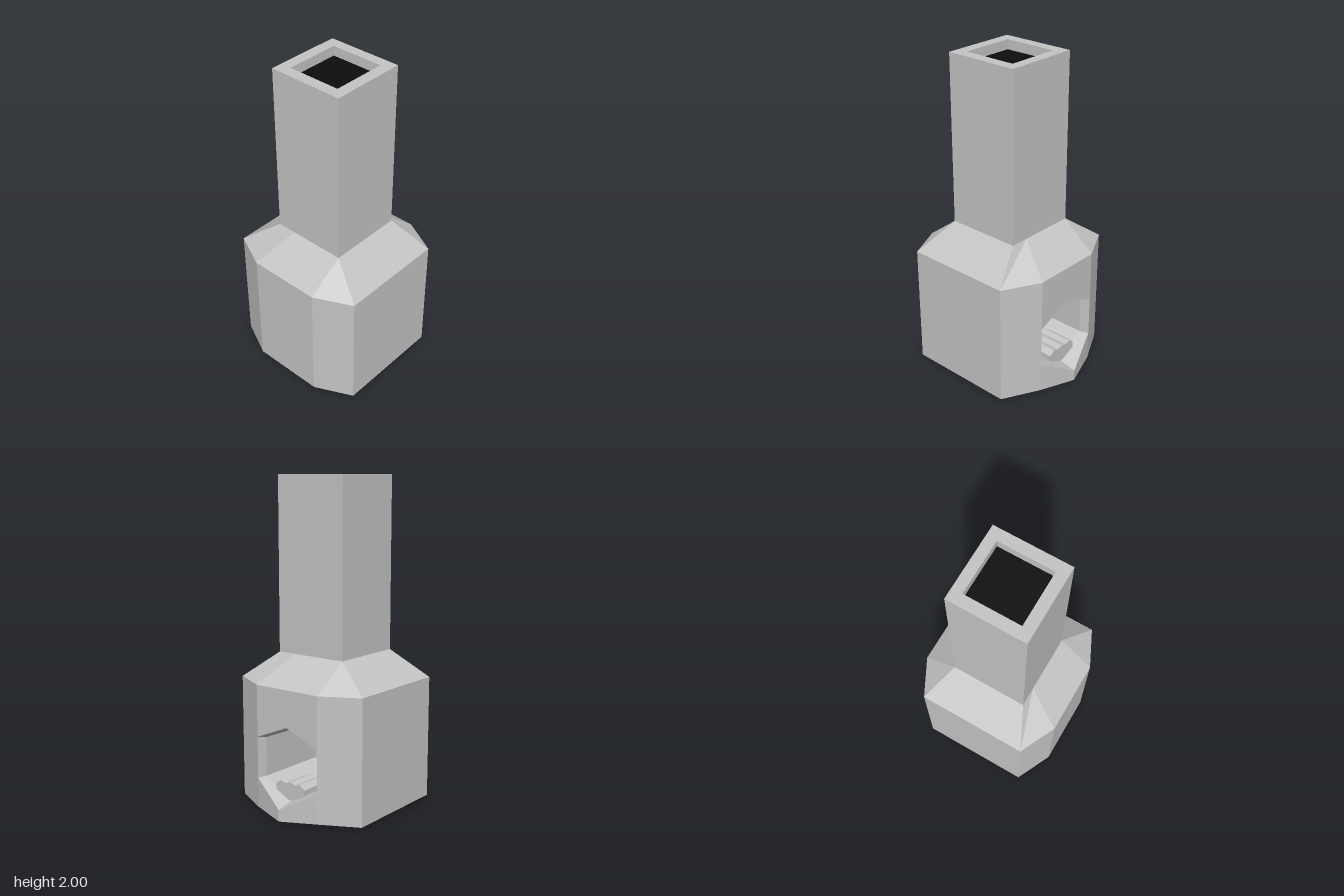
import * as THREE from 'three';

const stone = new THREE.MeshStandardMaterial({ color: 0xc4c4c4, flatShading: true, side: THREE.DoubleSide });
stone.name = 'grey stone';
const soot = new THREE.MeshStandardMaterial({ color: 0x0d0d0d, flatShading: true, side: THREE.DoubleSide });
soot.name = 'black soot';

// Mesh from flat polygons, each fanned from its first corner
function polyMesh(name, polygons, material) {
  const pos = [];
  for (const p of polygons)
    for (let i = 1; i < p.length - 1; i++) pos.push(...p[0], ...p[i], ...p[i + 1]);
  const geo = new THREE.BufferGeometry();
  geo.setAttribute('position', new THREE.Float32BufferAttribute(pos, 3));
  geo.computeVertexNormals();
  const mesh = new THREE.Mesh(geo, material);
  mesh.name = name;
  return mesh;
}

// Quads joining two loops with the same number of corners
const loft = (a, b) => a.map((p, i) => {
  const j = (i + 1) % a.length;
  return [p, a[j], b[j], b[i]];
});

const atHeight = (plan, y) => plan.map(([x, z]) => [x, y, z]);
const rect = (x0, x1, z) => [[x0, z], [x1, z], [x1, -z], [x0, -z]];

export function createModel() {
  const group = new THREE.Group();
  group.name = 'furnace';

  // Eight-sided furnace body; side 2 holds the mouth
  const plan = [[-0.39, 0.46], [0.3, 0.46], [0.42, 0.23], [0.42, -0.23],
    [0.3, -0.46], [-0.39, -0.46], [-0.5, -0.23], [-0.5, 0.23]];
  const base = atHeight(plan, 0.015), eaves = atHeight(plan, 0.775);
  const walls = loft(base, eaves).filter((_, i) => i !== 2);
  const lipFoot = [0.495, 0, 0];
  const underside = [lipFoot, ...base.slice(0, 3).reverse(), ...base.slice(3).reverse()];
  group.add(polyMesh('bodyWalls', walls, stone));
  group.add(polyMesh('underside', [underside], stone));

  // Hexagonal mouth with a pointed lip pushed forward at the bottom
  const mouth = [[0.495, 0.07, 0], [0.42, 0.2, -0.23], [0.42, 0.455, -0.23],
    [0.42, 0.55, 0], [0.42, 0.455, 0.23], [0.42, 0.2, 0.23]];
  group.add(polyMesh('mouthWall', [[mouth[3], mouth[2], eaves[3], eaves[2], mouth[4]]], stone));
  group.add(polyMesh('lip', [
    [mouth[5], base[2], lipFoot, mouth[0]],
    [mouth[0], lipFoot, base[3], mouth[1]],
  ], stone));

  // Firebox behind the mouth
  const hex = (x) => [[x, 0.1, 0], [x, 0.2, -0.212], [x, 0.443, -0.212],
    [x, 0.53, 0], [x, 0.443, 0.212], [x, 0.2, 0.212]];
  const back = hex(-0.1);
  group.add(polyMesh('mouthRim', loft(mouth, hex(0.36)), stone));
  group.add(polyMesh('firebox', [...loft(hex(0.36), back), back], stone));

  // Lumpy fuel pile on the firebox floor
  const pile = new THREE.Shape();
  pile.moveTo(-0.11, 0.1);
  pile.lineTo(0.11, 0.1);
  for (let i = 0; i <= 6; i++) pile.lineTo(0.11 - i * 0.22 / 6, i % 6 === 0 ? 0.185 : 0.2 + 0.01 * (i % 2));
  const fuelGeo = new THREE.ExtrudeGeometry(pile, { depth: 0.2, bevelEnabled: false });
  const fuel = new THREE.Mesh(fuelGeo.rotateY(Math.PI / 2).translate(0.19, 0, 0), stone);
  fuel.name = 'fuelPile';
  group.add(fuel);

  // Sloping shoulder from body to chimney
  const neck = [[-0.28, 0.24], [0.2, 0.24], [0.2, 0.12], [0.2, -0.12],
    [0.2, -0.24], [-0.28, -0.24], [-0.28, -0.12], [-0.28, 0.12]];
  group.add(polyMesh('shoulder', loft(eaves, atHeight(neck, 0.94)), stone));

  // Square chimney with a shallow flue
  const outer = rect(-0.28, 0.2, 0.24), inner = rect(-0.21, 0.135, 0.17);
  const top = atHeight(outer, 2), flueTop = atHeight(inner, 2), flueFloor = atHeight(inner, 1.94);
  group.add(polyMesh('chimney', loft(atHeight(outer, 0.94), top), stone));
  group.add(polyMesh('chimneyRim', loft(top, flueTop), stone));
  group.add(polyMesh('flueWalls', loft(flueTop, flueFloor), stone));
  group.add(polyMesh('flueOpening', [flueFloor], soot));

  return group;
}
